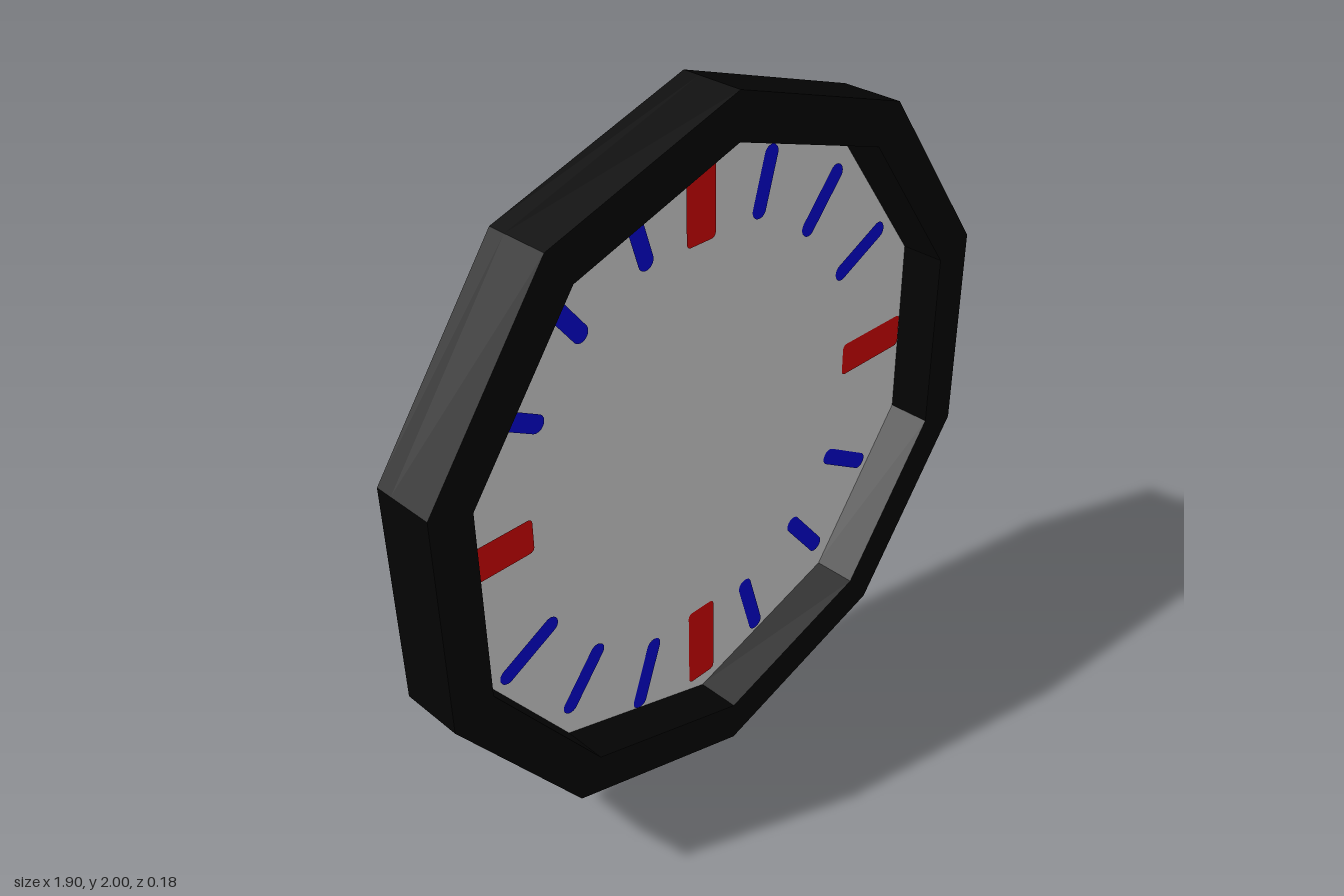
import * as THREE from 'three';

const SIDES = 10, OUTER = 1, INNER = 0.875;
const BACK = -0.09, FRONT = 0.09, DIAL = -0.04;

const material = (name, color) => {
  const m = new THREE.MeshStandardMaterial({ color });
  m.name = name;
  return m;
};

// Corners of a regular decagon with one corner pointing up
function decagon(radius) {
  return Array.from({ length: SIDES }, (_, i) => {
    const a = Math.PI / 2 + (i / SIDES) * Math.PI * 2;
    return new THREE.Vector2(radius * Math.cos(a), radius * Math.sin(a));
  });
}

// Rectangle with rounded corners, centred on the origin
function roundedRect(w, h, r) {
  const s = new THREE.Shape(), x = w / 2 - r, y = h / 2 - r;
  s.absarc(x, y, r, 0, Math.PI / 2);
  s.absarc(-x, y, r, Math.PI / 2, Math.PI);
  s.absarc(-x, -y, r, Math.PI, Math.PI * 1.5);
  s.absarc(x, -y, r, Math.PI * 1.5, Math.PI * 2);
  return s;
}

export function createModel() {
  const black = material('black casing', 0x040404);
  const pale = material('pale grey dial', 0xe7e7e7);
  const red = material('red mark', 0xe70303);
  const blue = material('blue mark', 0x0303e7);

  const clock = new THREE.Group();
  clock.name = 'clockFace';
  clock.position.y = 1;

  function add(name, geometry, mat, x, y, z, turn = 0) {
    const mesh = new THREE.Mesh(geometry, mat);
    mesh.name = name;
    mesh.position.set(x, y, z);
    mesh.rotation.z = turn;
    clock.add(mesh);
  }
  const extrude = (shape, depth) =>
    new THREE.ExtrudeGeometry(shape, { depth, bevelEnabled: false });

  // Casing: raised rim in front of a closed back
  const rim = new THREE.Shape(decagon(OUTER));
  rim.holes.push(new THREE.Path(decagon(INNER).reverse()));
  add('rim', extrude(rim, FRONT - DIAL), black, 0, 0, DIAL);
  add('backPlate', extrude(new THREE.Shape(decagon(OUTER)), DIAL - BACK), black, 0, 0, BACK);

  // Recessed dial
  add('dial', new THREE.ShapeGeometry(new THREE.Shape(decagon(INNER))), pale, 0, 0, DIAL + 0.002);

  // Quarter marks: centre x, centre y, width, height
  const markZ = DIAL + 0.005;
  [
    [0, 0.705, 0.1, 0.255],
    [-0.008, -0.7, 0.1, 0.26],
    [-0.706, 0.005, 0.25, 0.1],
    [0.7, 0, 0.255, 0.1],
  ].forEach(([x, y, w, h]) =>
    add('quarterMark', new THREE.ShapeGeometry(roundedRect(w, h, 0.014), 3), red, x, y, markZ));

  // Small marks: outer end x, y and inner end x, y
  [
    [0.247, 0.735, 0.207, 0.597],
    [0.503, 0.603, 0.399, 0.481],
    [0.696, 0.369, 0.547, 0.295],
    [0.677, -0.4, 0.535, -0.315],
    [0.487, -0.615, 0.382, -0.485],
    [0.222, -0.763, 0.175, -0.601],
    [-0.254, -0.763, -0.196, -0.597],
    [-0.503, -0.611, -0.402, -0.485],
    [-0.696, -0.377, -0.551, -0.301],
    [-0.696, 0.392, -0.547, 0.309],
    [-0.497, 0.615, -0.399, 0.489],
    [-0.233, 0.752, -0.186, 0.597],
  ].forEach(([x0, y0, x1, y1]) => {
    const dx = x1 - x0, dy = y1 - y0, width = 0.05;
    const shape = roundedRect(Math.hypot(dx, dy) + width, width, width / 2 - 0.001);
    add('smallMark', new THREE.ShapeGeometry(shape, 4), blue,
      (x0 + x1) / 2, (y0 + y1) / 2, markZ, Math.atan2(dy, dx));
  });

  const model = new THREE.Group();
  model.name = 'wallClock';
  model.add(clock);
  return model;
}
